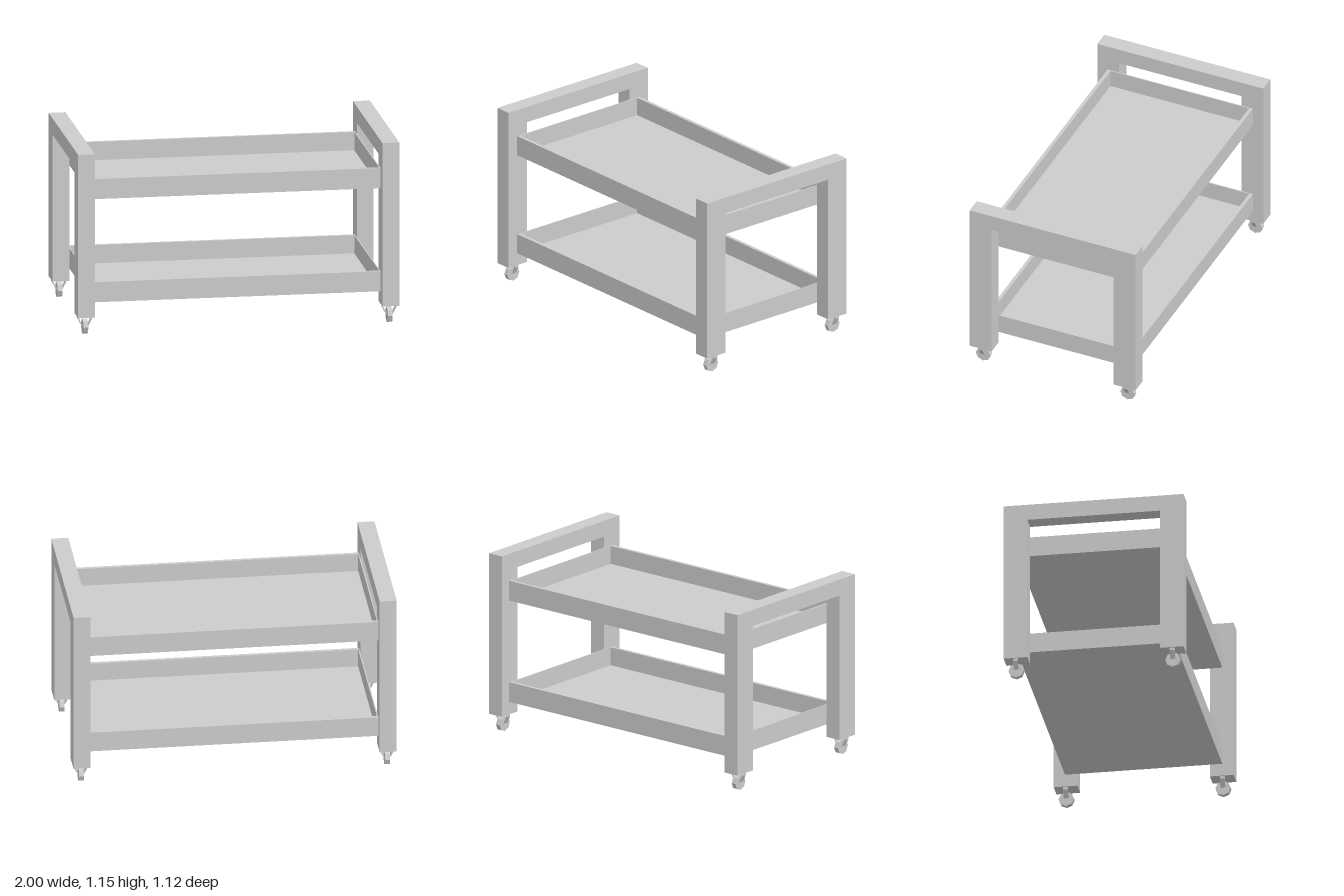
import * as THREE from 'three';

const material = new THREE.MeshStandardMaterial({ color: 0xcccccc, flatShading: true });

function addMesh(parent, name, geometry, x = 0, y = 0, z = 0) {
  const mesh = new THREE.Mesh(geometry, material);
  mesh.name = name;
  mesh.position.set(x, y, z);
  parent.add(mesh);
  return mesh;
}

const polygon = (points) => new THREE.Shape(points.map(([x, y]) => new THREE.Vector2(x, y)));
const rectangle = (w, h) => [[-w, -h], [w, -h], [w, h], [-w, h]];
const extrude = (shape, depth) => new THREE.ExtrudeGeometry(shape, { depth, bevelEnabled: false });

// End frame: two legs joined by a handle bar, as one inverted U
function endFrameGeometry() {
  const shape = polygon([
    [-0.56, 0.115], [-0.412, 0.115], [-0.412, 1.045], [0.412, 1.045],
    [0.412, 0.115], [0.56, 0.115], [0.56, 1.147], [-0.56, 1.147],
  ]);
  return extrude(shape, 0.105).translate(0, 0, -0.0525).rotateY(Math.PI / 2);
}

// Tray: thin rim walls around a thin floor
function createTray(name, y) {
  const tray = new THREE.Group();
  tray.name = name;
  tray.position.y = y;
  const rim = polygon(rectangle(0.895, 0.49));
  rim.holes.push(polygon(rectangle(0.888, 0.468).reverse()));
  addMesh(tray, 'trayRim', extrude(rim, 0.127).rotateX(-Math.PI / 2));
  addMesh(tray, 'trayFloor', new THREE.BoxGeometry(1.776, 0.012, 0.936), 0, 0.006, 0);
  return tray;
}

// Caster: octagonal wheel held by two bent straps
function createCaster(x, z) {
  const caster = new THREE.Group();
  caster.name = 'caster';
  caster.position.set(x, 0, z);
  const wheel = new THREE.CylinderGeometry(0.048, 0.048, 0.03, 8).rotateZ(Math.PI / 2);
  addMesh(caster, 'wheel', wheel, 0, 0.048, 0);
  const strap = [
    [0.015, 0.053], [0.022, 0.053], [0.046, 0.098], [0.046, 0.116], [0.038, 0.116], [0.038, 0.1],
  ];
  for (const side of [-1, 1]) {
    const points = strap.map(([px, py]) => [px * side, py]);
    addMesh(caster, 'forkStrap', extrude(polygon(points), 0.03), 0, 0, -0.015);
  }
  return caster;
}

export function createModel() {
  const cart = new THREE.Group();
  cart.name = 'trolley';
  for (const side of [-1, 1]) {
    addMesh(cart, side > 0 ? 'leftEndFrame' : 'rightEndFrame', endFrameGeometry(), side * 0.9475);
    for (const end of [-1, 1]) cart.add(createCaster(side * 0.9475, end * 0.488));
  }
  cart.add(createTray('lowerTray', 0.195), createTray('upperTray', 0.847));
  return cart;
}
